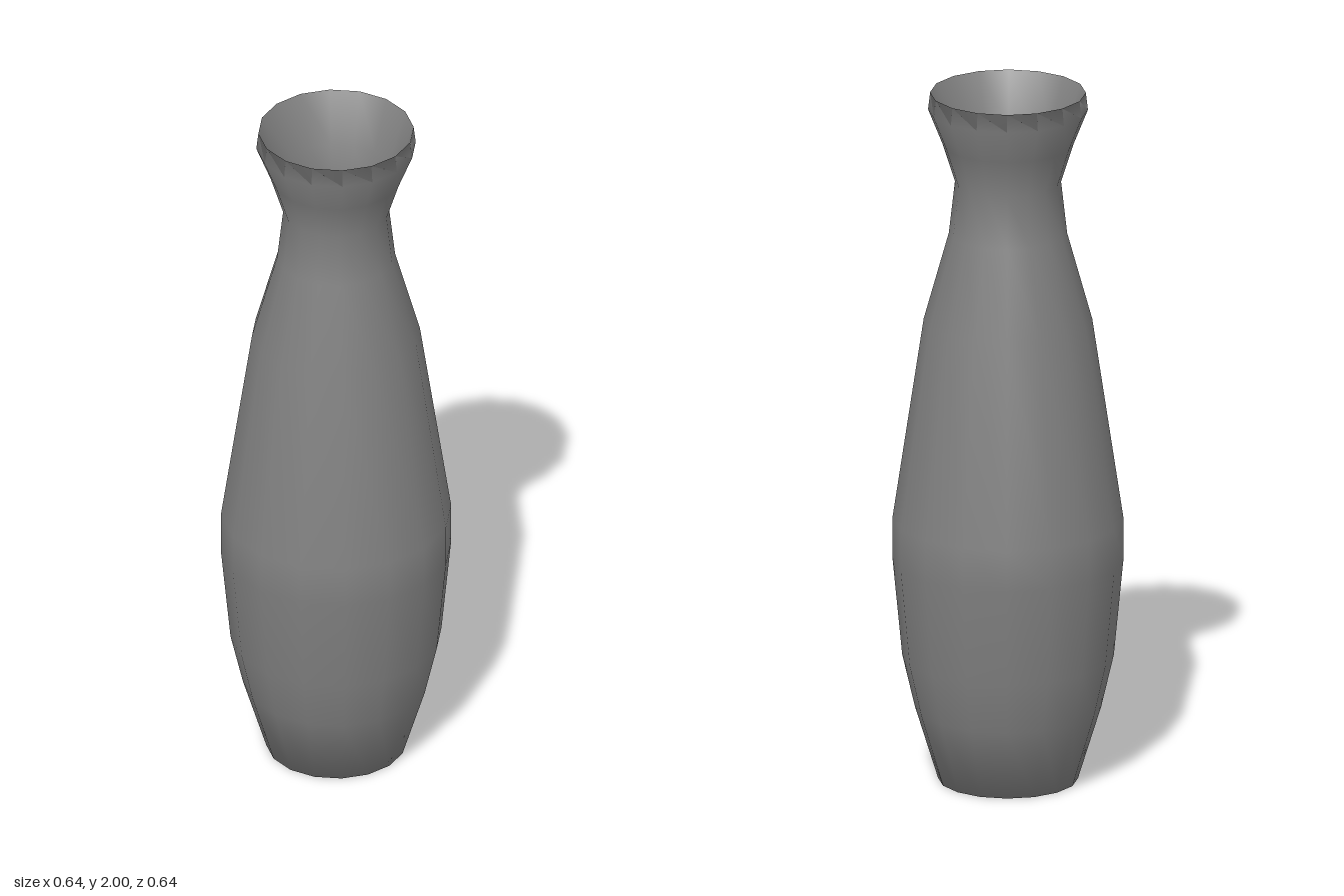
import * as THREE from 'three';

const SIDES = 16;
const WALL = 0.016;

// Outer radius and height, from foot to shoulder of the lip
const OUTER = [
  [0.195, 0], [0.26, 0.21], [0.295, 0.36], [0.322, 0.64], [0.322, 0.76],
  [0.235, 1.34], [0.165, 1.59], [0.148, 1.74], [0.183, 1.85], [0.223, 1.95],
];

export function createModel() {
  const group = new THREE.Group();
  group.name = 'vase';

  // Inner wall: the outer curve moved in by the wall thickness, from neck to floor
  const inner = OUTER.slice(1, -1).reverse().map(([r, y]) => [r - WALL, y]);

  // One smooth profile: flat base, outer wall, thin lip, inner wall, inside floor
  const profile = [
    [0, 0], ...OUTER, [0.217, 2], ...inner, [0.188, 0.04], [0, 0.04],
  ].map(([r, y]) => new THREE.Vector2(r, y));

  const body = new THREE.Mesh(
    new THREE.LatheGeometry(profile, SIDES),
    new THREE.MeshStandardMaterial({ color: 0x808080 }),
  );
  body.name = 'body';
  group.add(body);
  return group;
}
